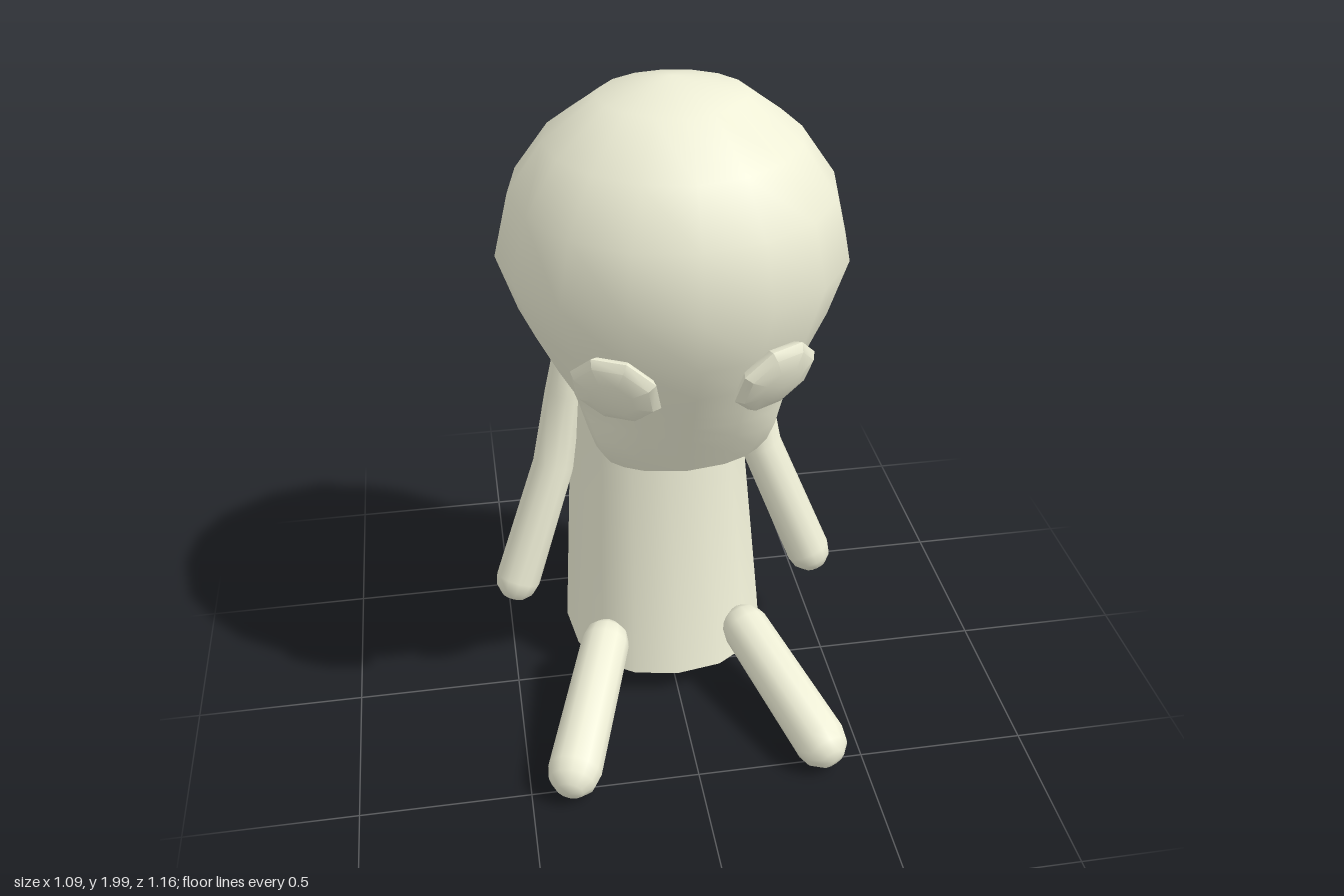
import * as THREE from 'three';
import { toCreasedNormals } from 'three/addons/utils/BufferGeometryUtils.js';

const material = new THREE.MeshStandardMaterial({ color: 0xeeeed6, side: THREE.DoubleSide });

// Skin a list of rings (bottom to top, equal point counts) with quads
function loft(rings, crease = 0.8) {
  const n = rings[0].length, index = [];
  for (let i = 0; i < rings.length - 1; i++) {
    for (let j = 0; j < n; j++) {
      const a = i * n + j, b = i * n + (j + 1) % n;
      index.push(a, b, a + n, b, b + n, a + n);
    }
  }
  const geometry = new THREE.BufferGeometry().setFromPoints(rings.flat());
  geometry.setIndex(index);
  return toCreasedNormals(geometry, crease);
}

// Oval ring between a front and a back height and depth; power < 1 squares it off
function oval({ yF, yB = yF, zF, zB, w, power = 1, bend = 1, lift = 0 }, n = 16) {
  const soft = v => Math.sign(v) * Math.pow(Math.abs(v), power);
  return Array.from({ length: n }, (_, j) => {
    const a = (j / n) * Math.PI * 2, s = soft(Math.sin(a)), c = soft(Math.cos(a));
    const t = (1 - c) / 2;
    return new THREE.Vector3(w * s, yF + (yB - yF) * Math.pow(t, bend) + lift * s * s, zF + (zB - zF) * t);
  });
}

// Round limb along a path with rounded ends
function limb(points, radii, n = 12) {
  const path = points.map(p => new THREE.Vector3(...p));
  const rings = [];
  const addRing = (centre, dir, r) => {
    const x = new THREE.Vector3(1, 0, 0).addScaledVector(dir, -dir.x).normalize();
    const z = x.clone().cross(dir);
    rings.push(Array.from({ length: n }, (_, j) => {
      const a = (j / n) * Math.PI * 2;
      return centre.clone().addScaledVector(x, r * Math.sin(a)).addScaledVector(z, r * Math.cos(a));
    }));
  };
  const last = path.length - 1;
  path.forEach((p, i) => {
    const dir = path[Math.min(i + 1, last)].clone().sub(path[Math.max(i - 1, 0)]).normalize();
    const r = radii[i];
    const angles = i === 0 ? [-90, -60, -30, 0] : i === last ? [0, 30, 60, 90] : [0];
    for (const deg of angles) {
      const a = THREE.MathUtils.degToRad(deg);
      addRing(p.clone().addScaledVector(dir, r * Math.sin(a)), dir, r * Math.cos(a));
    }
  });
  return loft(rings, 1.2);
}

export function createModel() {
  const model = new THREE.Group();
  const add = (name, geometry) => {
    const mesh = new THREE.Mesh(geometry, material);
    mesh.name = name;
    model.add(mesh);
    return mesh;
  };

  // Slouching body with a recessed underside and a slanted top
  add('body', loft([
    { yF: 0.17, yB: 0.19, zF: -0.19, zB: -0.19, w: 0 },
    { yF: 0.16, yB: 0.2, zF: 0.07, zB: -0.46, w: 0.26 },
    { yF: 0.09, yB: 0.17, zF: 0.14, zB: -0.52, w: 0.32, bend: 2 },
    { yF: 0.73, yB: 0.78, zF: -0.03, zB: -0.58, w: 0.275 },
    { yF: 1.15, yB: 1.36, zF: -0.03, zB: -0.435, w: 0.23 },
    { yF: 1.25, zF: -0.23, zB: -0.23, w: 0 },
  ].map(r => oval({ power: 0.9, ...r }))));

  // Round skull narrowing to a wedge-shaped jaw: y, half width, front z, back z, squareness, side lift
  add('head', loft([
    [0.93, 0, 0.185, 0.185, 1, 0],
    [0.93, 0.22, 0.24, 0.13, 0.7, 0.04],
    [0.99, 0.245, 0.268, 0.115, 0.7, 0.02],
    [1.07, 0.265, 0.305, 0.08, 0.75, 0],
    [1.13, 0.285, 0.335, -0.02, 0.8, 0],
    [1.18, 0.305, 0.36, -0.11, 0.85, 0],
    [1.26, 0.365, 0.4, -0.29, 0.93, 0],
    [1.37, 0.43, 0.45, -0.405, 1, 0],
    [1.53, 0.485, 0.49, -0.46, 1, 0],
    [1.71, 0.442, 0.462, -0.43, 1, 0],
    [1.85, 0.345, 0.365, -0.32, 1, 0],
    [1.96, 0.2, 0.2, -0.16, 1, 0],
    [2.0, 0, 0, 0, 1, 0],
  ].map(([yF, w, zF, zB, power, lift]) => oval({ yF, w, zF, zB, power, lift }))));

  for (const [side, s] of [['left', 1], ['right', -1]]) {
    // Flattened eight-sided eye
    const eyeShape = new THREE.SphereGeometry(0.127, 8, 6).rotateX(Math.PI / 2).rotateZ(Math.PI / 8);
    const eye = add(side + 'Eye', toCreasedNormals(eyeShape.scale(1, 1, 0.32), 0.6));
    eye.position.set(s * 0.21, 1.305, 0.385);
    eye.lookAt(s * (0.21 + 0.42), 1.305 - 0.4, 0.385 + 0.82);

    // Hanging arm, bent at the elbow
    add(side + 'Arm', limb(
      [[s * 0.475, 0.315, -0.135], [s * 0.335, 0.66, -0.265], [s * 0.29, 0.92, -0.277], [s * 0.255, 1.15, -0.275]],
      [0.07, 0.066, 0.06, 0.045]));

    // Leg stretched forward and outward
    add(side + 'Leg', limb(
      [[s * 0.37, 0.085, 0.5], [s * 0.225, 0.195, 0.08]], [0.08, 0.075]));
  }
  return model;
}
